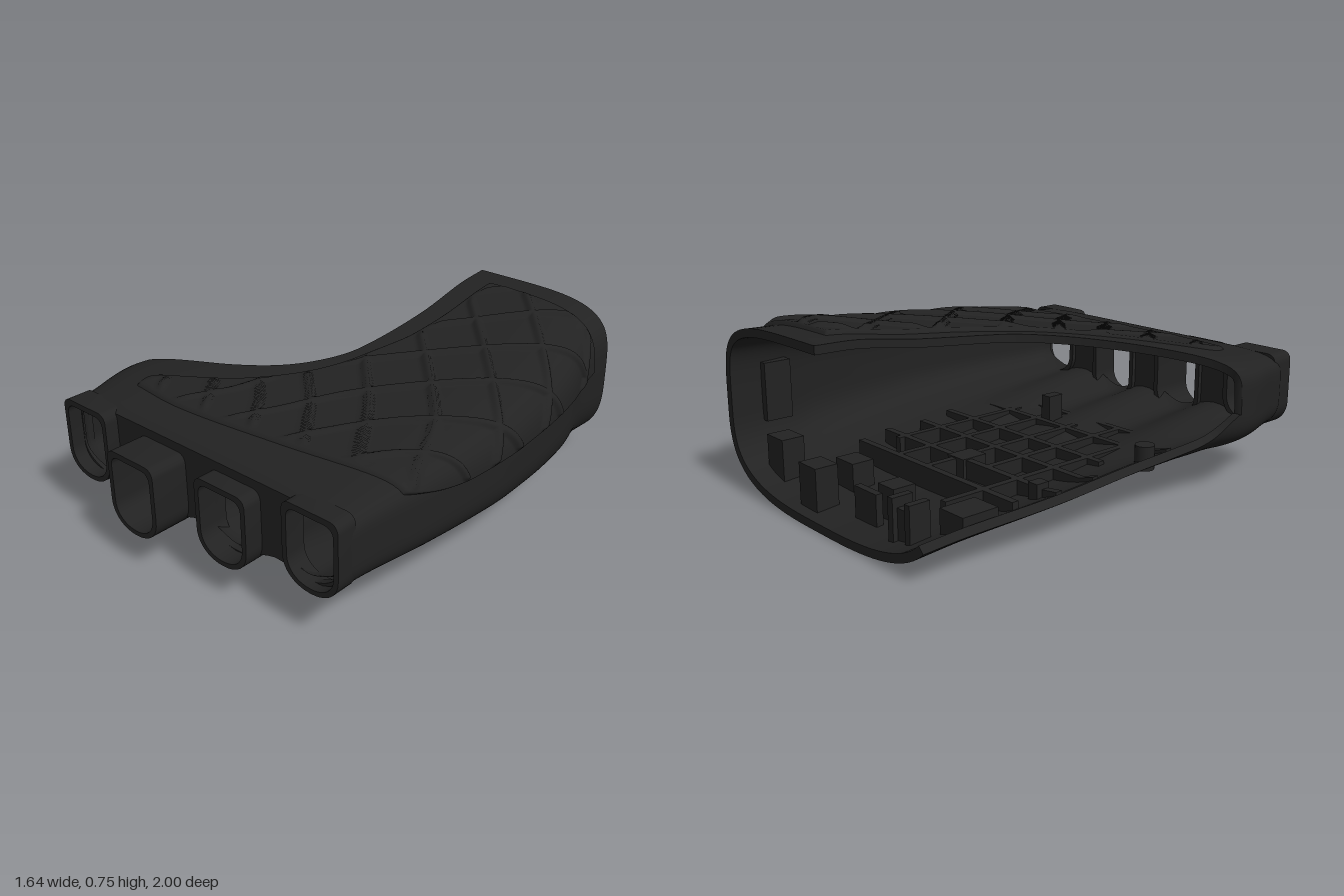
import * as THREE from 'three';
import { toCreasedNormals, mergeVertices } from 'three/addons/utils/BufferGeometryUtils.js';

const material = new THREE.MeshStandardMaterial({ color: 0x222222, side: THREE.DoubleSide });
const { abs, min, max, sin, cos, PI, pow, atan2, hypot } = Math;
const { smoothstep: step, clamp, lerp } = THREE.MathUtils;

// Smooth value through [key, value] pairs
function track(...p) {
  const slope = i => {
    const a = p[max(i - 1, 0)], b = p[min(i + 1, p.length - 1)];
    return (b[1] - a[1]) / (b[0] - a[0]);
  };
  return z => {
    if (z <= p[0][0]) return p[0][1];
    if (z >= p[p.length - 1][0]) return p[p.length - 1][1];
    const i = p.findIndex(q => q[0] > z) - 1, h = p[i + 1][0] - p[i][0], t = (z - p[i][0]) / h;
    const t2 = t * t, t3 = t2 * t;
    return (2 * t3 - 3 * t2 + 1) * p[i][1] + (t3 - 2 * t2 + t) * h * slope(i)
      + (3 * t2 - 2 * t3) * p[i + 1][1] + (t3 - t2) * h * slope(i + 1);
  };
}

// Palm profile along z
const left = track([-1, -.65], [-.8, -.65], [-.4, -.68], [0, -.69], [.2, -.72], [.4, -.785], [.5, -.815], [.6, -.81], [.75, -.77], [.85, -.755]);
const right = track([-1, .665], [-.8, .675], [-.6, .73], [-.4, .765], [-.2, .785], [0, .795], [.4, .775], [.7, .74], [.85, .73]);
const top = track([-1, .73], [-.8, .72], [-.5, .675], [0, .625], [.5, .572], [.85, .535]);
const bottom = track([-1, .003], [-.5, .05], [0, .09], [.5, .128], [.85, .155]);
const topPower = track([-1, 4.5], [0, 4.4], [.5, 6.5], [.85, 8]);
// Opening edges: low side lip and curved top edge
const lip = track([-1, .13], [-.5, .155], [0, .19], [.2, .215], [.35, .26], [.48, .36]);
const cut = track([-1, -.03], [-.5, 0], [-.1, -.01], [.05, -.06], [.2, -.18], [.32, -.37], [.42, -.63], [.48, -.82]);
// Pad outline: lower edge, front edge by x, inner edge
const padLow = track([-.87, .455], [-.8, .445], [.2, .44], [.35, .455], [.5, .49], [.6, .52]);
const padFront = track([-.6, .665], [-.3, .69], [.2, .65], [.5, .61], [.76, .56]);
const padInner = track([-.87, .1], [-.3, .1], [-.1, .06], [.1, 0], [.25, -.1], [.4, -.27], [.5, -.45], [.56, -.57], [.6, -.6], [.67, -.57], [.69, -.5]);

const other = (f, n) => pow(max(0, 1 - pow(min(1, abs(f)), n)), 1 / n);
const power = (s, up) => (up >= 0 ? s.n : 3);

// Cross-section; lowHw widens the low left side so the lip reaches the outline
function section(z) {
  const inset = .015 * pow(max(0, (z - .78) / .06), 2);
  const l = left(z), r = right(z), t = top(z), b = bottom(z);
  const hw = (r - l) / 2 - inset, cy = (t + b) / 2, hh = (t - b) / 2 - inset;
  const lipF = z < .48 ? min(0, (lip(z) - cy) / hh) : 0;
  return { z, cx: (l + r) / 2, hw, cy, hh, n: topPower(z), lipF, lowHw: hw / other(lipF, 3) };
}

// Point on a section at a polar angle, with finger valleys under the front
function rim(s, a) {
  const c = cos(a), d = sin(a), n = power(s, d);
  const r = pow(pow(abs(c), n) + pow(abs(d), n), -1 / n);
  const x = s.cx + (c < 0 && d < 0 ? s.lowHw : s.hw) * c * r;
  let y = s.cy + s.hh * d * r;
  if (d < 0) y += .055 * step(s.z, -.2, .84) * (.5 - .5 * cos(2 * PI * (x + .21) / .4)) * step(-d * r, .5, .9) * (1 - step(abs(x), .55, .65));
  return [x, y];
}
function offsetRim(s, a, d) {
  const p = rim(s, a), q = rim(s, a + .004), o = rim(s, a - .004);
  const tx = q[0] - o[0], ty = q[1] - o[1], l = hypot(tx, ty);
  return [p[0] + ty / l * d, p[1] - tx / l * d];
}
const angleAtTopX = (s, x) => {
  const g = clamp((x - s.cx) / s.hw, -1, 1);
  return atan2(other(g, s.n), g);
};
const angleAtSideY = (s, y) => {
  const f = clamp((y - s.cy) / s.hh, -1, 1);
  return atan2(f, other(f, power(s, f)));
};
const floorY = (x, z) => {
  const s = section(z), u = x - s.cx;
  return s.cy - s.hh * other(u / (u < 0 ? s.lowHw : s.hw), 3) + .02;
};

function buildGeometry(pos, index) {
  const g = new THREE.BufferGeometry();
  g.setAttribute('position', new THREE.Float32BufferAttribute(pos, 3));
  g.setIndex(index);
  return g;
}

// Hollow shell: outer and inner skins joined along the opening
function shellGeometry() {
  const N = 150, ring = 2 * N + 2, pos = [], index = [], stations = [];
  const quad = (a, b, c, d) => index.push(a, b, c, a, c, d);
  for (let j = 0; j <= 80; j++) stations.push(.48 - 1.48 * pow(1 - j / 80, 1.6));
  for (let j = 1; j <= 20; j++) stations.push(.48 + .36 * j / 20);
  for (const z of stations) {
    const s = section(z), open = z < .48;
    const start = PI + atan2(-s.lipF, other(s.lipF, 3));
    const end = open ? 2 * PI + angleAtTopX(s, cut(z)) : 3 * PI;
    for (let k = 0; k < ring; k++) {
      const i = k <= N ? k : ring - 1 - k;
      pos.push(...offsetRim(s, clamp(PI + 2 * PI * i / N, start, end), k <= N ? 0 : -.035), z);
    }
  }
  for (let j = 0; j < stations.length - 1; j++) for (let k = 0; k < ring; k++) {
    const k2 = (k + 1) % ring, r = j * ring;
    quad(r + k, r + k2, r + ring + k2, r + ring + k);
  }
  for (let i = 0; i < N; i++) quad(i, ring - 1 - i, ring - 2 - i, i + 1);
  return toCreasedNormals(buildGeometry(pos, index), .7);
}

// Quilted pad with crossing cords; beyond its outline it sinks into the shell wall
function padGeometry() {
  const N = 140, M = 190, pos = [], index = [];
  const cord = v => 1 - step(abs(v - Math.round(v)), .02, .1);
  for (let j = 0; j <= M; j++) {
    const z = -.87 + 1.57 * j / M, s = section(z);
    const a = angleAtSideY(s, padLow(z)), b = angleAtTopX(s, padInner(z));
    const front = step(z, .1, .5), pitch = lerp(.34, .26, front);
    for (let i = 0; i <= N; i++) {
      const u = i / N, angle = a + (b - a) * u, p = rim(s, angle);
      const across = p[0] - .27 + .4 * (s.cy + s.hh - p[1]);
      const border = min(min(u, 1 - u) * 40, (z + .87) * 60, (padFront(p[0]) - z) * 40);
      const lift = -.014 + lerp(.032, .025, front) * step(border, -.3, .8);
      const ridge = lerp(.017, .012, front) * step(border, .6, 3)
        * max(cord(across / pitch + (z + .53) / .36), cord(across / pitch - (z + .53) / .36));
      pos.push(...offsetRim(s, angle, lift + ridge), z);
    }
  }
  for (let j = 0; j < M; j++) for (let i = 0; i < N; i++) {
    const a = j * (N + 1) + i, d = a + N + 1;
    index.push(a, a + 1, d + 1, a, d + 1, d);
  }
  const g = buildGeometry(pos, index);
  g.computeVertexNormals();
  return g;
}

// Finger socket outline: squarish top, round bottom
function socketPoints(x, y0, y1, w) {
  const r = .045, q = w * .85, s = new THREE.Shape();
  s.moveTo(x - w, y1 - r);
  s.lineTo(x - w, y0 + q);
  s.bezierCurveTo(x - w, y0 + q * .4, x - w * .6, y0, x, y0);
  s.bezierCurveTo(x + w * .6, y0, x + w, y0 + q * .4, x + w, y0 + q);
  s.lineTo(x + w, y1 - r);
  s.quadraticCurveTo(x + w, y1, x + w - r, y1);
  s.lineTo(x - w + r, y1);
  s.quadraticCurveTo(x - w, y1, x - w, y1 - r);
  return s.getPoints(10).slice(0, -1);
}
function extrude(outline, holes, z0, z1) {
  const shape = new THREE.Shape(outline);
  shape.holes = holes.map(h => new THREE.Path(h));
  const g = new THREE.ExtrudeGeometry(shape, { depth: z1 - z0, bevelEnabled: false });
  g.deleteAttribute('normal');
  g.deleteAttribute('uv');
  return toCreasedNormals(mergeVertices(g.translate(0, 0, z0)), .6);
}

// Box standing on the curved palm floor, with a level top
function floorBox(x, z, w, d, level) {
  const g = new THREE.BoxGeometry(w, 1, d, Math.ceil(w / .08), 1, Math.ceil(d / .08)).translate(x, .5, z);
  const p = g.attributes.position;
  for (let i = 0; i < p.count; i++) {
    const y = floorY(p.getX(i), p.getZ(i));
    p.setY(i, y + p.getY(i) * max(level - y, .03));
  }
  g.computeVertexNormals();
  return g;
}

export function createModel() {
  const model = new THREE.Group();
  const add = (name, geometry, parent = model) => {
    const mesh = new THREE.Mesh(geometry, material);
    mesh.name = name;
    parent.add(mesh);
    return mesh;
  };
  const group = name => {
    const g = new THREE.Group();
    g.name = name;
    model.add(g);
    return g;
  };
  add('palmShell', shellGeometry());
  add('quiltedPad', padGeometry());

  // Finger sockets: x, hole bottom, hole top, front z
  const fingers = [[-.61, .22, .51, .9], [-.21, .17, .46, 1], [.19, .17, .46, .92], [.595, .22, .51, .88]];
  const sockets = group('fingerSockets');
  for (const [x, y0, y1, z] of fingers)
    add('fingerSocket', extrude(socketPoints(x, y0 - .02, y1 + .024, .132), [socketPoints(x, y0, y1, .11)], .79, z), sockets);

  // Front wall with the socket holes kept inside its outline
  const s = section(.84), outline = [];
  for (let i = 0; i < 120; i++) outline.push(new THREE.Vector2(...rim(s, i * PI / 60)));
  const holes = fingers.map(([x, y0, y1]) => socketPoints(x, y0, y1, .11).map(p => {
    const u = (p.x - s.cx) / s.hw, v = (p.y - s.cy) / s.hh, n = power(s, v);
    const k = min(1, .97 / pow(pow(abs(u), n) + pow(abs(v), n), 1 / n));
    return new THREE.Vector2(s.cx + u * k * s.hw, s.cy + v * k * s.hh);
  }));
  add('frontWall', extrude(outline, holes, .81, .84));

  // Rib grid on the palm floor
  const ribs = group('floorRibs');
  for (const [z, x0, x1] of [[-.53, -.58, .4], [-.36, -.63, .45], [-.17, -.63, .45], [.02, -.48, .5], [.24, -.64, .45], [.4, -.45, .4]])
    add('crossRib', floorBox((x0 + x1) / 2, z, x1 - x0, .03, .175), ribs);
  for (const [x, z0, z1] of [[-.4, -.72, .4], [-.22, -.36, .4], [-.05, -.53, .3], [.14, -.53, .4], [.32, -.4, .3]])
    add('longRib', floorBox(x, (z0 + z1) / 2, .03, z1 - z0, .175), ribs);

  // Mounting blocks: x, z, width, depth, top level
  const blocks = group('mountingBlocks');
  for (const [x, z, w, d, level] of [[-.56, -.73, .13, .16, .2], [-.46, -.88, .03, .09, .23], [-.36, -.88, .03, .09, .23],
    [-.41, -.88, .08, .05, .19], [-.17, -.76, .1, .1, .19], [-.13, -.86, .14, .03, .18], [.46, -.86, .12, .1, .25],
    [.15, -.9, .12, .1, .22], [.2, -.7, .12, .1, .18], [-.53, -.37, .05, .06, .2], [-.06, -.33, .1, .12, .18], [.1, .3, .05, .08, .28]])
    add('mountingBlock', floorBox(x, z, w, d, level), blocks);
  add('screwBoss', new THREE.CylinderGeometry(.04, .04, .1, 24), blocks).position.set(-.62, floorY(-.62, .12) + .03, .12);
  // Upright bracket against the closed side
  add('sideBracket', new THREE.BoxGeometry(.06, .25, .12).translate(.63, .4, -.8), blocks);
  return model;
}
